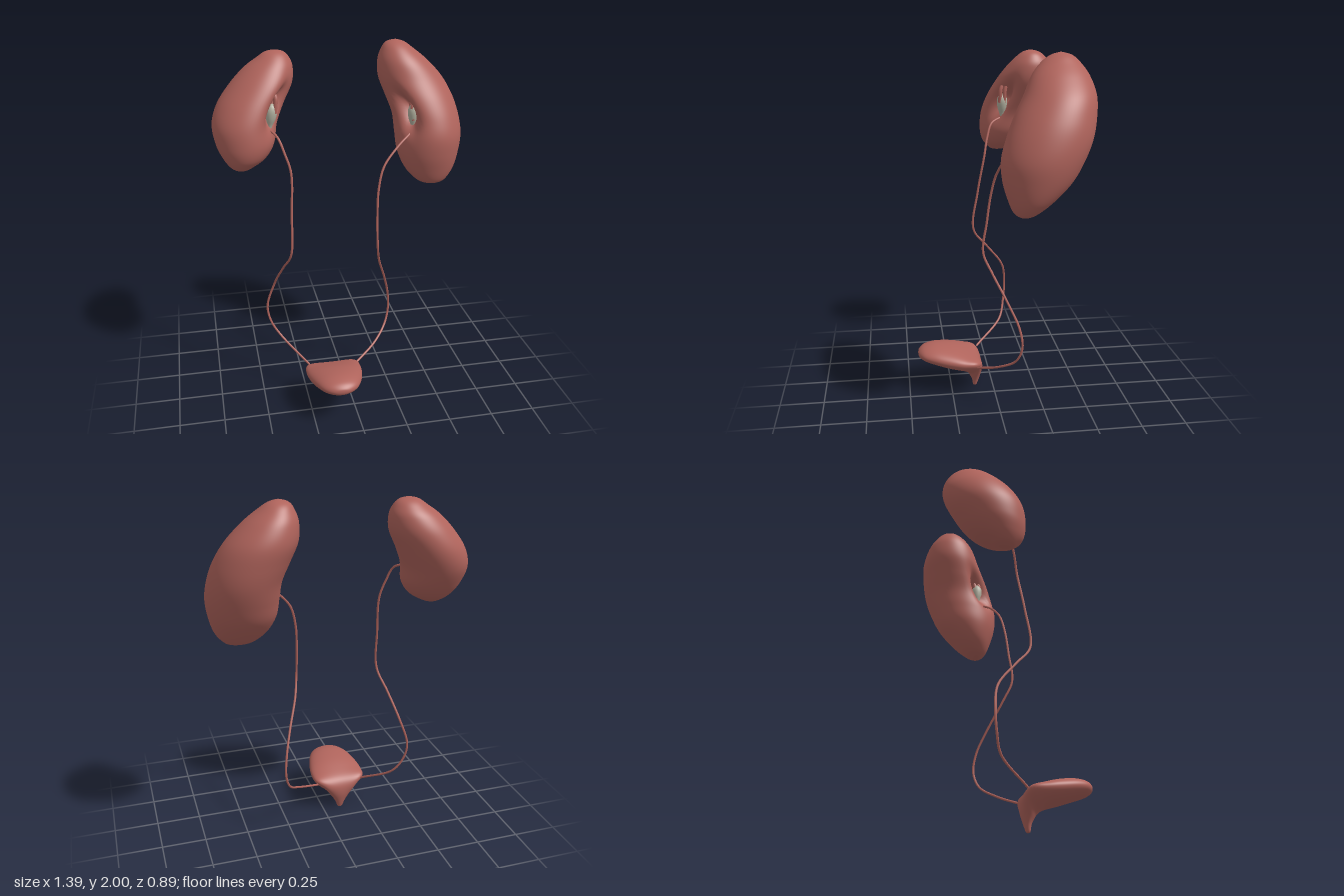
import * as THREE from 'three';

const flesh = new THREE.MeshStandardMaterial({ color: 0xb0645c, side: THREE.DoubleSide });
const pale = new THREE.MeshStandardMaterial({ color: 0xb4b3a2 });
const SIDES = 72;

const part = (name, geometry, material = flesh) => {
  const mesh = new THREE.Mesh(geometry, material);
  mesh.name = name;
  return mesh;
};

// Smoothly resample the rows of a cross-section table
function resample(table, count) {
  const columns = table[0].map((_, c) => new THREE.SplineCurve(table.map(r => new THREE.Vector2(r[c], 0))));
  return Array.from({ length: count + 1 }, (_, i) => columns.map(s => s.getPoint(i / count).x));
}

// Skin closed rings; ringPoint(row, angle) gives one point
function loft(rows, ringPoint) {
  const positions = [], index = [];
  rows.forEach((row, i) => {
    for (let j = 0; j < SIDES; j++) {
      positions.push(...ringPoint(row, (j / SIDES) * Math.PI * 2));
      if (i === rows.length - 1) continue;
      const a = i * SIDES + j, b = i * SIDES + (j + 1) % SIDES;
      index.push(a, b, a + SIDES, b, b + SIDES, a + SIDES);
    }
  });
  const geometry = new THREE.BufferGeometry();
  geometry.setAttribute('position', new THREE.Float32BufferAttribute(positions, 3));
  geometry.setIndex(index);
  geometry.computeVertexNormals();
  return geometry;
}

// Kidney: rows are [y, xMin, xMax, zMin, zMax]; a narrow hollow is pressed in at the hilum
function kidney(name, table, hilumAngle, hilumY) {
  return part(name, loft(resample(table, 80), ([y, x0, x1, z0, z1], t) => {
    const d = Math.atan2(Math.sin(t - hilumAngle), Math.cos(t - hilumAngle));
    const dent = 1 - 0.5 * Math.exp(-((d / 0.27) ** 2) - ((y - hilumY) / 0.09) ** 2);
    return [
      (x0 + x1) / 2 + (x1 - x0) / 2 * Math.cos(t) * dent, y,
      (z0 + z1) / 2 + (z1 - z0) / 2 * Math.sin(t) * dent,
    ];
  }));
}

function tube(name, points, radius, segments = 90) {
  const curve = new THREE.CatmullRomCurve3(points.map(p => new THREE.Vector3(...p)));
  return part(name, new THREE.TubeGeometry(curve, segments, radius, 8));
}

// Pale funnel between hilum and ureter
function pelvis(name, position, tilt) {
  const profile = [[0.007, -0.085], [0.013, -0.05], [0.026, -0.01], [0.03, 0.03], [0.02, 0.06], [0, 0.07]];
  const curve = new THREE.SplineCurve(profile.map(p => new THREE.Vector2(...p)));
  const mesh = part(name, new THREE.LatheGeometry(curve.getPoints(20), 20), pale);
  mesh.position.set(...position);
  mesh.rotation.z = tilt;
  return mesh;
}

export function createModel() {
  const model = new THREE.Group();
  model.name = 'urinarySystem';

  model.add(kidney('leftKidney', [
    [2.0, 0.335, 0.335, -0.28, -0.28],
    [1.985, 0.285, 0.385, -0.335, -0.23],
    [1.95, 0.258, 0.435, -0.375, -0.18],
    [1.89, 0.238, 0.51, -0.415, -0.13],
    [1.8, 0.24, 0.595, -0.44, -0.085],
    [1.7, 0.275, 0.65, -0.432, -0.03],
    [1.6, 0.31, 0.68, -0.41, 0.012],
    [1.5, 0.318, 0.69, -0.37, 0.037],
    [1.4, 0.328, 0.675, -0.315, 0.03],
    [1.31, 0.365, 0.645, -0.23, 0.005],
    [1.25, 0.42, 0.6, -0.155, -0.02],
    [1.228, 0.465, 0.565, -0.11, -0.045],
    [1.22, 0.515, 0.515, -0.075, -0.075],
  ], 2.42, 1.64));

  model.add(kidney('rightKidney', [
    [1.972, -0.34, -0.34, -0.25, -0.25],
    [1.96, -0.39, -0.29, -0.3, -0.21],
    [1.93, -0.435, -0.26, -0.34, -0.17],
    [1.88, -0.505, -0.242, -0.38, -0.125],
    [1.8, -0.585, -0.25, -0.41, -0.07],
    [1.7, -0.66, -0.3, -0.415, -0.02],
    [1.6, -0.695, -0.345, -0.385, 0.012],
    [1.5, -0.682, -0.367, -0.32, 0.02],
    [1.43, -0.65, -0.415, -0.25, 0.005],
    [1.385, -0.615, -0.485, -0.17, -0.03],
    [1.368, -0.585, -0.525, -0.13, -0.055],
    [1.362, -0.56, -0.56, -0.09, -0.09],
  ], 0.7, 1.7));

  model.add(pelvis('leftRenalPelvis', [0.398, 1.61, -0.095], 0));
  model.add(pelvis('rightRenalPelvis', [-0.385, 1.65, -0.095], -0.15));

  // Short vessels inside each hilum
  for (const [side, x, y] of [['left', 0.4, 1.66], ['right', -0.37, 1.74]]) {
    const s = Math.sign(x);
    for (let i = 0; i < 2; i++) {
      const z = -0.1 - i * 0.025;
      model.add(tube(side + 'HilumVessel', [
        [x + s * 0.06, y - 0.02 + i * 0.02, z - 0.03],
        [x, y + 0.035 + i * 0.015, z],
        [x - s * 0.012, y + 0.01, z + 0.015],
        [x - s * 0.005, y - 0.07, z + 0.02],
      ], 0.011, 24));
    }
  }

  model.add(tube('leftUreter', [
    [0.398, 1.54, -0.09], [0.37, 1.52, -0.06], [0.3, 1.47, -0.02], [0.21, 1.37, 0.02],
    [0.175, 1.25, 0.045], [0.165, 1.1, 0.065], [0.165, 0.93, 0.085], [0.185, 0.82, 0.04],
    [0.24, 0.66, -0.04], [0.278, 0.52, -0.1], [0.287, 0.41, -0.115], [0.26, 0.32, -0.085],
    [0.18, 0.25, 0.0], [0.035, 0.178, 0.105],
  ], 0.0065));
  model.add(tube('rightUreter', [
    [-0.395, 1.58, -0.09], [-0.36, 1.55, -0.03], [-0.33, 1.47, 0.0], [-0.302, 1.37, 0.02],
    [-0.31, 1.15, 0.06], [-0.322, 0.92, 0.085], [-0.36, 0.8, 0.0], [-0.4, 0.66, -0.1],
    [-0.447, 0.5, -0.12], [-0.43, 0.4, -0.11], [-0.375, 0.31, -0.08], [-0.235, 0.195, 0.08],
  ], 0.0065));

  // Bladder: rows are [upperZ, upperY, lowerZ, lowerY, halfWidth, skew], bending down into the neck
  const bladderRows = resample([
    [0.445, 0.23, 0.445, 0.23, 0, 0],
    [0.438, 0.25, 0.438, 0.21, 0.045, 0],
    [0.405, 0.271, 0.405, 0.19, 0.093, 0],
    [0.34, 0.28, 0.34, 0.168, 0.127, 0],
    [0.25, 0.268, 0.265, 0.143, 0.15, 0.05],
    [0.17, 0.242, 0.205, 0.125, 0.159, 0.15],
    [0.1, 0.208, 0.17, 0.107, 0.15, 0.32],
    [0.07, 0.165, 0.15, 0.087, 0.098, 0.3],
    [0.066, 0.11, 0.137, 0.065, 0.058, 0.1],
    [0.08, 0.05, 0.125, 0.04, 0.031, 0],
    [0.098, 0, 0.118, 0, 0.013, 0],
    [0.108, 0, 0.108, 0, 0, 0],
  ], 60);
  model.add(part('bladder', loft(bladderRows, ([uz, uy, lz, ly, w, skew], t) => {
    const c = Math.cos(t), f = (1 + Math.sin(t)) / 2 + skew * c * c;
    return [-0.107 - Math.max(w, 0) * c, Math.max(0, ly + (uy - ly) * f), lz + (uz - lz) * f];
  })));

  return model;
}
